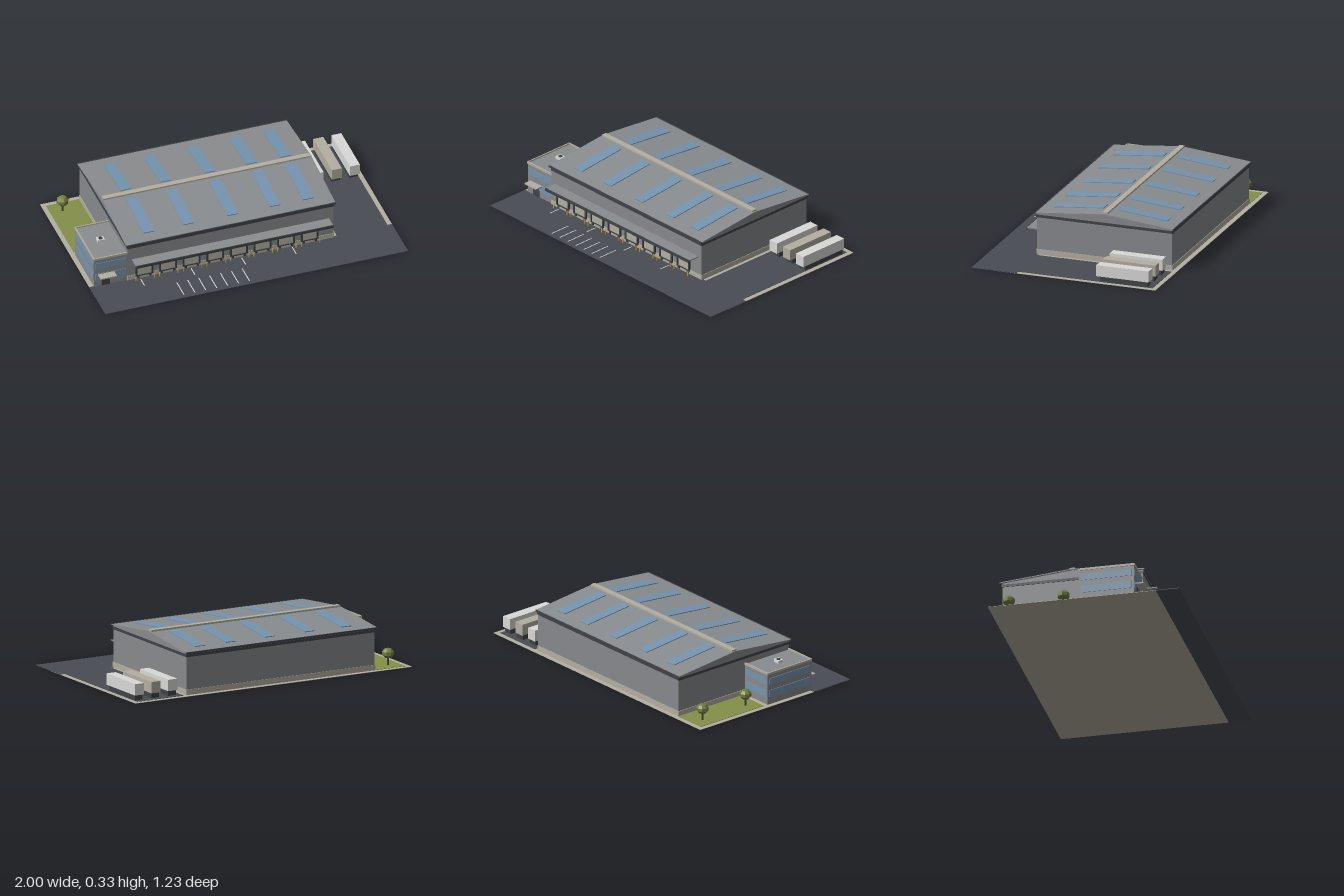
import * as THREE from 'three';

const mat = (name, color) => {
  const m = new THREE.MeshStandardMaterial({ color });
  m.name = name;
  return m;
};

export function createModel() {
  const wall = mat('wall grey', 0x87898c);
  const roofing = mat('roof grey', 0x8a8d8f);
  const concrete = mat('warm concrete', 0xb3aea0);
  const asphalt = mat('asphalt', 0x484c53);
  const trim = mat('dark trim', 0x3f4348);
  const glass = mat('blue glass', 0x7594b0);
  const white = mat('white paint', 0xd9dad6);
  const yellow = mat('safety yellow', 0xc9a035);
  const grass = mat('grass green', 0x84904a);
  const foliage = mat('foliage green', 0x737d40);

  const model = new THREE.Group();
  model.name = 'warehouse';
  const group = (name) => {
    const g = new THREE.Group();
    g.name = name;
    model.add(g);
    return g;
  };
  const add = (parent, name, geometry, material) => {
    const m = new THREE.Mesh(geometry, material);
    m.name = name;
    parent.add(m);
    return m;
  };
  // Box given by its extents on each axis
  const box = (parent, name, material, x0, x1, y0, y1, z0, z1) => {
    const m = add(parent, name, new THREE.BoxGeometry(x1 - x0, y1 - y0, z1 - z0), material);
    m.position.set((x0 + x1) / 2, (y0 + y1) / 2, (z0 + z1) / 2);
    return m;
  };
  // Profile in (z, y) extruded along x
  const profileAlongX = (parent, name, material, points, x0, x1) => {
    const shape = new THREE.Shape(points.map(([z, y]) => new THREE.Vector2(-z, y)));
    const geo = new THREE.ExtrudeGeometry(shape, { depth: x1 - x0, bevelEnabled: false });
    geo.rotateY(Math.PI / 2).translate(x0, 0, 0);
    return add(parent, name, geo, material);
  };

  // Site: slab, yard, lawn and painted lines
  const site = group('site');
  box(site, 'slab', concrete, -1, 1, 0, 0.002, -0.615, 0.46);
  box(site, 'frontYard', asphalt, -1, 1, 0.0005, 0.004, 0.31, 0.61);
  box(site, 'trailerYard', asphalt, 0.635, 0.97, 0.001, 0.004, -0.585, 0.31);
  box(site, 'lawn', grass, -0.97, -0.75, 0.001, 0.004, -0.585, -0.07);
  for (let i = 0; i < 7; i++) {
    const x = -0.47 + i * 0.0722;
    box(site, 'parkingLine', white, x - 0.003, x + 0.003, 0.003, 0.005, 0.445, 0.582);
  }
  for (let i = 0; i < 4; i++) {
    const x = -0.67 + i * 0.334;
    box(site, 'laneLine', white, x - 0.003, x + 0.003, 0.003, 0.005, 0.335, 0.41);
  }

  // Main hall with gable ends
  const hall = group('hall');
  const ridgeZ = -0.13, eaveF = 0.33, eaveB = -0.59, eaveY = 0.276, ridgeY = 0.322;
  profileAlongX(hall, 'walls', wall,
    [[0.32, 0.002], [0.32, 0.272], [ridgeZ, 0.317], [-0.58, 0.272], [-0.58, 0.002]], -0.75, 0.61);
  box(hall, 'plinth', concrete, -0.753, 0.613, 0.002, 0.036, -0.583, 0.323);
  box(hall, 'eaveBand', trim, -0.754, 0.614, 0.245, 0.262, -0.584, 0.324);
  profileAlongX(hall, 'roof', roofing,
    [[eaveF, eaveY - 0.006], [eaveF, eaveY], [ridgeZ, ridgeY], [eaveB, eaveY],
      [eaveB, eaveY - 0.006], [ridgeZ, ridgeY - 0.006]], -0.762, 0.62);
  box(hall, 'frontGutter', trim, -0.762, 0.62, 0.266, 0.277, 0.326, 0.334);
  box(hall, 'backGutter', trim, -0.762, 0.62, 0.266, 0.277, -0.594, -0.586);
  box(hall, 'ridgeVent', concrete, -0.755, 0.61, 0.312, 0.331, -0.15, -0.115);

  // Skylights lying on both roof slopes
  const tilt = Math.atan2(ridgeY - eaveY, eaveF - ridgeZ);
  for (const x of [-0.585, -0.322, -0.032, 0.247, 0.47]) {
    for (const side of [1, -1]) {
      const d = 0.213;
      const m = add(hall, 'skylight', new THREE.BoxGeometry(0.072, 0.006, 0.337), glass);
      m.position.set(x, ridgeY - Math.tan(tilt) * d + 0.002, ridgeZ + side * d);
      m.rotation.x = side * tilt;
    }
  }

  // Loading docks
  const docks = group('loadingDocks');
  for (let i = 0; i < 8; i++) {
    const x = -0.642 + i * 0.156;
    const dock = new THREE.Group();
    dock.name = 'dock';
    dock.position.x = x;
    docks.add(dock);
    box(dock, 'door', concrete, -0.047, 0.047, 0.03, 0.124, 0.318, 0.325);
    for (const s of [-1, 1]) {
      const cx = s * 0.0525;
      box(dock, 'shelterSide', trim, cx - 0.0055, cx + 0.0055, 0.026, 0.13, 0.318, 0.331);
      box(dock, 'bumper', trim, s * 0.04 - 0.007, s * 0.04 + 0.007, 0.01, 0.028, 0.318, 0.33);
      const post = add(dock, 'bollard', new THREE.CylinderGeometry(0.004, 0.004, 0.028, 8), yellow);
      post.position.set(s * 0.061, 0.017, 0.346);
    }
    box(dock, 'shelterHead', trim, -0.058, 0.058, 0.12, 0.131, 0.318, 0.331);
    box(dock, 'leveller', trim, -0.047, 0.047, 0.024, 0.031, 0.318, 0.329);
  }
  box(docks, 'canopy', roofing, -0.722, 0.58, 0.151, 0.158, 0.318, 0.4);
  box(docks, 'canopyFascia', trim, -0.722, 0.58, 0.142, 0.16, 0.398, 0.405);

  // Office wing
  const office = group('office');
  box(office, 'officeWalls', wall, -0.97, -0.75, 0.002, 0.205, -0.04, 0.315);
  box(office, 'officeRoof', roofing, -0.965, -0.755, 0.2, 0.209, -0.035, 0.31);
  box(office, 'parapetLeft', concrete, -0.974, -0.966, 0.203, 0.217, -0.044, 0.319);
  box(office, 'parapetFront', concrete, -0.974, -0.75, 0.203, 0.217, 0.311, 0.319);
  box(office, 'parapetBack', concrete, -0.974, -0.75, 0.203, 0.217, -0.044, -0.036);
  for (const [y0, y1] of [[0.05, 0.097], [0.135, 0.177]]) {
    box(office, 'frontWindows', glass, -0.96, -0.76, y0, y1, 0.312, 0.318);
    box(office, 'backWindows', glass, -0.96, -0.76, y0, y1, -0.043, -0.037);
    box(office, 'sideWindows', glass, -0.973, -0.967, y0, y1, -0.025, 0.3);
  }
  box(office, 'entranceDoor', trim, -0.92, -0.865, 0.004, 0.08, 0.313, 0.3195);
  box(office, 'entranceCanopy', concrete, -0.945, -0.838, 0.086, 0.094, 0.312, 0.37);

  // Rooftop cooling unit with its fan
  box(office, 'coolingUnit', white, -0.888, -0.842, 0.208, 0.228, 0.117, 0.155);
  const fan = add(office, 'fan', new THREE.CylinderGeometry(0.013, 0.013, 0.005, 12), trim);
  fan.position.set(-0.865, 0.23, 0.136);

  // Parked trailers
  [[0.698, white], [0.819, concrete], [0.938, white]].forEach(([x, paint]) => {
    const trailer = group('trailer');
    trailer.position.x = x;
    box(trailer, 'cargoBox', paint, -0.033, 0.033, 0.037, 0.11, -0.56, -0.21);
    box(trailer, 'chassis', trim, -0.028, 0.028, 0.004, 0.037, -0.55, -0.235);
  });

  // Lawn trees
  for (const z of [-0.505, -0.155]) {
    const tree = group('tree');
    tree.position.set(-0.89, 0, z);
    const trunk = add(tree, 'trunk', new THREE.CylinderGeometry(0.006, 0.007, 0.055, 6), trim);
    trunk.position.y = 0.03;
    const geo = new THREE.SphereGeometry(0.04, 8, 5).toNonIndexed();
    geo.computeVertexNormals();
    const crown = add(tree, 'crown', geo, foliage);
    crown.position.y = 0.08;
    crown.scale.y = 0.85;
  }
  return model;
}
